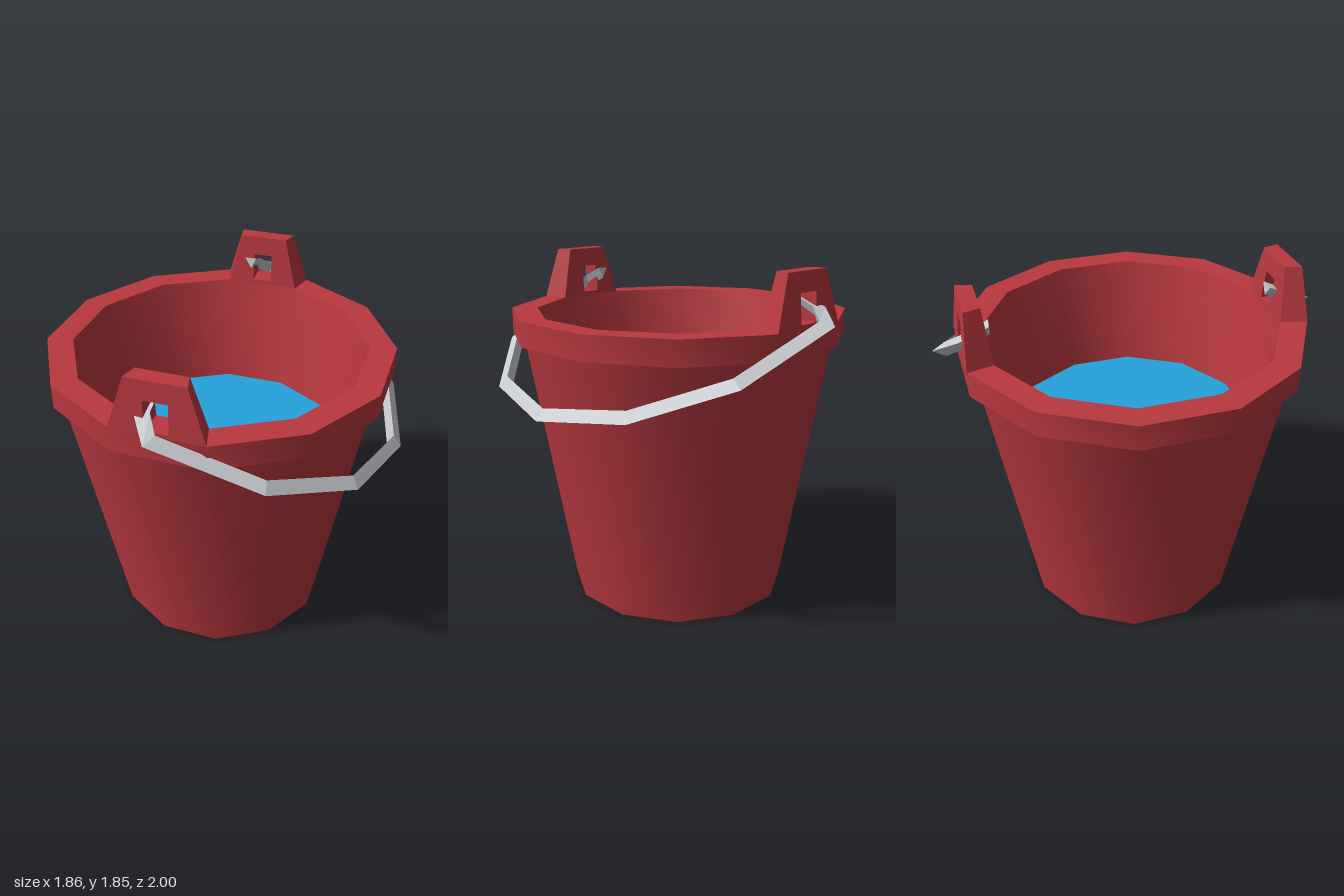
import * as THREE from 'three';
import { toCreasedNormals } from 'three/addons/utils/BufferGeometryUtils.js';

const SIDES = 12;
const RIM_Y = 1.58, EAR_TOP = 1.85;
const lerp = THREE.MathUtils.lerp;

// Tapered lug with a square hole, standing on one flat of the rim
function earGeometry() {
  const shape = new THREE.Shape([
    new THREE.Vector2(-0.235, RIM_Y), new THREE.Vector2(0.235, RIM_Y),
    new THREE.Vector2(0.15, EAR_TOP), new THREE.Vector2(-0.15, EAR_TOP),
  ]);
  shape.holes.push(new THREE.Path([
    new THREE.Vector2(-0.06, 1.6), new THREE.Vector2(-0.06, 1.75),
    new THREE.Vector2(0.06, 1.75), new THREE.Vector2(0.06, 1.6),
  ]));
  const geo = new THREE.ExtrudeGeometry(shape, { depth: 1, bevelEnabled: false });
  const p = geo.attributes.position;
  for (let i = 0; i < p.count; i++) {
    const t = (p.getY(i) - RIM_Y) / (EAR_TOP - RIM_Y), outer = p.getZ(i);
    p.setX(i, p.getX(i) * lerp(0.848, 1, outer));
    p.setZ(i, lerp(lerp(0.742, 0.77, t), lerp(0.877, 0.855, t), outer));
  }
  geo.computeVertexNormals();
  return geo;
}

// Three-sided bar swept along a mirrored polyline
function handleGeometry() {
  const half = [
    [-0.12, 1.715, 0.72], [-0.125, 1.655, 0.86], [-0.06, 1.594, 0.955],
    [0.43, 1.375, 0.84], [0.765, 1.217, 0.48],
  ].map((a) => new THREE.Vector3(...a));
  const mirrored = half.map((v) => new THREE.Vector3(v.x, v.y, -v.z)).reverse();
  const path = [...half, new THREE.Vector3(0.888, 1.158, 0), ...mirrored];
  const up = new THREE.Vector3(0.42, 0.908, 0).normalize();
  const R = 0.04, pos = [], index = [], last = path.length - 1;
  path.forEach((c, i) => {
    const a = c.clone().sub(path[Math.max(i - 1, 0)]).normalize();
    const b = path[Math.min(i + 1, last)].clone().sub(c).normalize();
    const t = a.clone().add(b).normalize();
    const mitre = i === 0 || i === last ? 1 : 1 / Math.max(a.dot(t), 0.7);
    const out = t.clone().cross(up).normalize();
    for (let k = 0; k < 3; k++) {
      const ang = (k * Math.PI * 2) / 3;
      const v = c.clone().addScaledVector(out, R * mitre * Math.cos(ang))
        .addScaledVector(up, R * Math.sin(ang));
      pos.push(v.x, v.y, v.z);
      const n = (k + 1) % 3, r = i * 3;
      if (i < last) index.push(r + k, r + 3 + k, r + n, r + n, r + 3 + k, r + 3 + n);
    }
  });
  index.push(0, 1, 2, last * 3 + 2, last * 3 + 1, last * 3);
  const indexed = new THREE.BufferGeometry();
  indexed.setAttribute('position', new THREE.Float32BufferAttribute(pos, 3));
  indexed.setIndex(index);
  const geo = indexed.toNonIndexed();
  geo.computeVertexNormals();
  return geo;
}

export function createModel() {
  const red = new THREE.MeshStandardMaterial({ color: 0xb8383f });
  red.name = 'red paint';
  const blue = new THREE.MeshStandardMaterial({ color: 0x25a3dc });
  blue.name = 'water blue';
  const grey = new THREE.MeshStandardMaterial({ color: 0xc8cbd0 });
  grey.name = 'handle grey';

  const model = new THREE.Group();
  model.name = 'bucket';
  const add = (parent, name, geo, mat) => {
    const mesh = new THREE.Mesh(geo, mat);
    mesh.name = name;
    parent.add(mesh);
    return mesh;
  };

  // The tub sits slightly off centre because the handle hangs to one side
  const tub = new THREE.Group();
  tub.name = 'tub';
  tub.position.set(-0.055, 0, 0.012);
  model.add(tub);

  // Outer wall, lip, inner wall and floor as one profile
  const profile = [
    [0, 0], [0.6, 0], [0.854, 1.45], [0.906, 1.45], [0.906, RIM_Y],
    [0.769, RIM_Y], [0.652, 1.0], [0.49, 0.12], [0, 0.12],
  ].map(([x, y]) => new THREE.Vector2(x, y));
  const body = new THREE.LatheGeometry(profile, SIDES, Math.PI / SIDES);
  add(tub, 'body', toCreasedNormals(body, 0.6), red);

  // Water surface
  const water = new THREE.CircleGeometry(0.653, SIDES, Math.PI / SIDES);
  water.rotateX(-Math.PI / 2);
  add(tub, 'water', water, blue).position.y = 1.0;

  // Handle lugs, front and back
  const ear = earGeometry();
  add(tub, 'frontEar', ear, red);
  add(tub, 'backEar', ear, red).rotation.y = Math.PI;

  add(model, 'handle', handleGeometry(), grey);
  return model;
}
